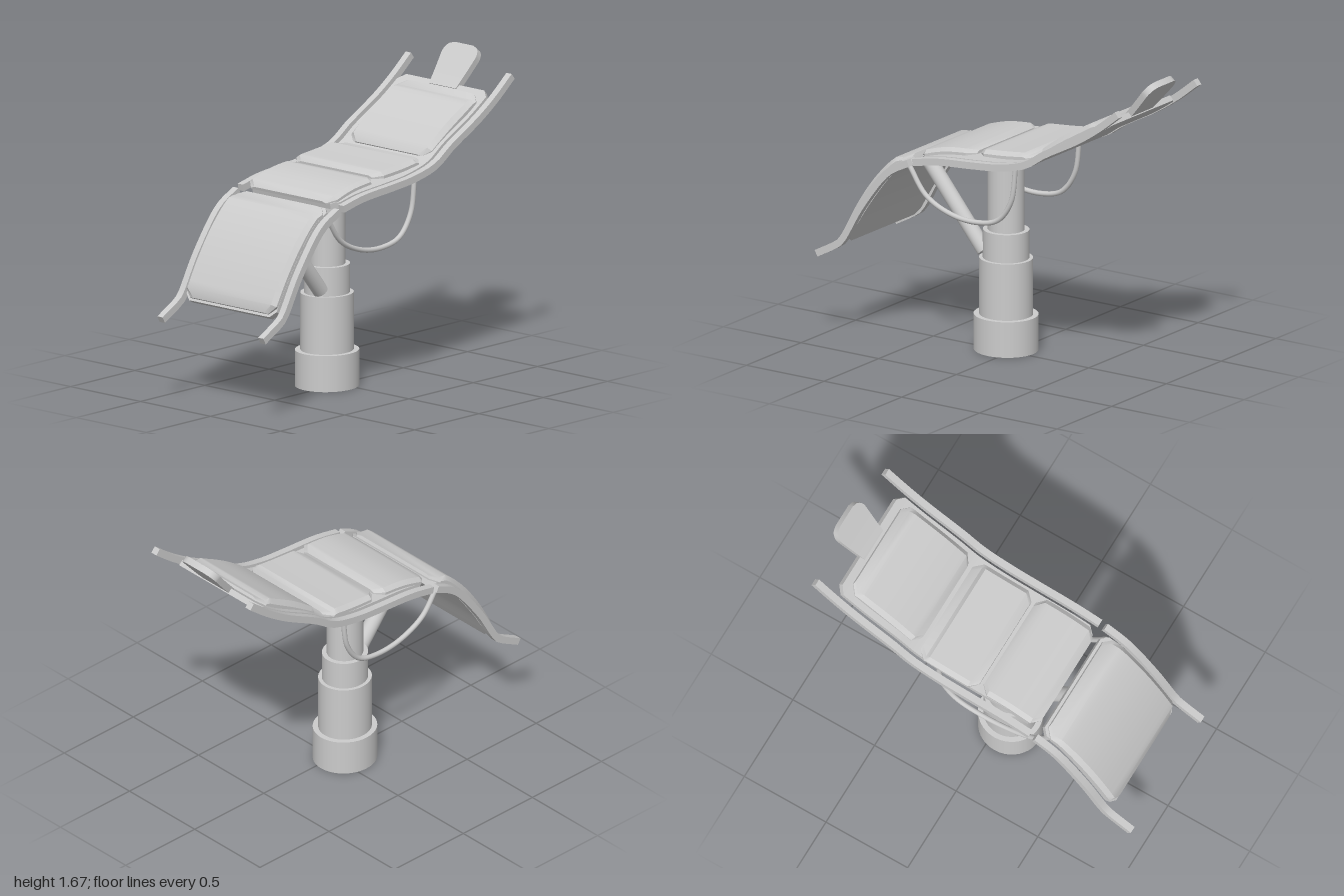
import * as THREE from 'three';
import { toCreasedNormals } from 'three/addons/utils/BufferGeometryUtils.js';

const material = new THREE.MeshStandardMaterial({ color: 0xcccccc, side: THREE.DoubleSide });

// Skin a list of convex rings (counter-clockwise seen from the first ring) and cap both ends
function loft(rings) {
  const pos = [];
  const tri = (a, b, c) => pos.push(...a, ...b, ...c);
  const n = rings[0].length;
  for (let i = 0; i < rings.length - 1; i++) {
    for (let j = 0; j < n; j++) {
      const k = (j + 1) % n;
      const [a, b, c, d] = [rings[i][j], rings[i][k], rings[i + 1][k], rings[i + 1][j]];
      tri(a, c, b);
      tri(a, d, c);
    }
  }
  const last = rings[rings.length - 1];
  for (let j = 1; j < n - 1; j++) {
    tri(rings[0][0], rings[0][j], rings[0][j + 1]);
    tri(last[0], last[j + 1], last[j]);
  }
  const g = new THREE.BufferGeometry();
  g.setAttribute('position', new THREE.Float32BufferAttribute(pos, 3));
  return toCreasedNormals(g, 0.55);
}

// A strip following a [z, y] path; chamfer cuts the corners, bevel softens the top edge
function strip({ path, x = 0, half, low, high, chamfer = 0, bevel = 0, bulge = 0, steps = 20, widthAt }) {
  const curve = new THREE.CatmullRomCurve3(path.map(([z, y]) => new THREE.Vector3(0, y, z)), false, 'centripetal');
  const L = curve.getLength();
  const stops = [0];
  for (let i = 0; i <= steps; i++) stops.push(chamfer + (L - 2 * chamfer) * i / steps);
  stops.push(L);
  const rings = stops.filter((s, i) => i === 0 || s - stops[i - 1] > 1e-6).map((s) => {
    const u = Math.min(1, s / L);
    const p = curve.getPointAt(u), t = curve.getTangentAt(u);
    const inset = Math.max(0, chamfer - Math.min(s, L - s));
    const w = (widthAt ? widthAt(u) : half) - inset;
    const edge = bevel && inset > 0 ? 0.4 : 1;
    const top = (high + bulge * Math.sin(Math.PI * u)) * edge;
    const at = (dx, h) => [x + dx, p.y - t.z * h, p.z + t.y * h];
    if (!bevel) return [at(-w, low), at(w, low), at(w, top), at(-w, top)];
    const mid = low + (top - low) * 0.45;
    return [at(-w, low), at(w, low), at(w, mid), at(w - bevel, top), at(bevel - w, top), at(-w, mid)];
  });
  return loft(rings);
}

export function createModel() {
  const model = new THREE.Group();
  const add = (name, geometry) => {
    const mesh = new THREE.Mesh(geometry, material);
    mesh.name = name;
    model.add(mesh);
    return mesh;
  };

  // Telescopic pedestal, slightly oval: [radius, bottom, top]
  [[0.166, 0, 0.195], [0.138, 0.195, 0.505], [0.119, 0.505, 0.66], [0.094, 0.66, 1.12]].forEach(([r, y0, y1], i) => {
    const m = add(`pedestalStage${i + 1}`, new THREE.CylinderGeometry(r, r, y1 - y0, 40));
    m.scale.z = 1.05;
    m.position.set(-0.034, (y0 + y1) / 2, 0.056);
  });

  // Diagonal strut holding the leg rest
  const a = new THREE.Vector3(0.015, 0.535, 0.16), b = new THREE.Vector3(0.015, 0.975, 0.52);
  const strut = add('legStrut', new THREE.CylinderGeometry(0.042, 0.042, a.distanceTo(b), 24));
  strut.position.copy(a).lerp(b, 0.5);
  strut.quaternion.setFromUnitVectors(new THREE.Vector3(0, 1, 0), b.clone().sub(a).normalize());

  // Side rails
  const legRail = [[0.99, 0.463], [0.86, 0.535], [0.83, 0.56], [0.71, 0.762], [0.56, 0.96], [0.5, 1.01], [0.4, 1.06]];
  const bodyRail = [[0.37, 1.07], [0.22, 1.1], [-0.02, 1.12], [-0.18, 1.137], [-0.35, 1.18],
    [-0.476, 1.26], [-0.69, 1.375], [-0.823, 1.463], [-0.945, 1.56]];
  for (const [label, x] of [['left', 0.358], ['right', -0.362]]) {
    add(`${label}LegRail`, strip({ path: legRail, x, half: 0.019, low: -0.019, high: 0.019 }));
    add(`${label}BodyRail`, strip({ path: bodyRail, x, half: 0.019, low: -0.019, high: 0.019, steps: 30 }));
  }

  // Bent support panels between the rails
  add('legPanel', strip({ path: [[0.84, 0.548], ...legRail.slice(3, -1), [0.41, 1.055]],
    half: 0.322, low: -0.016, high: 0.016, chamfer: 0.035 }));
  add('bodyPanel', strip({ path: [...bodyRail.slice(0, -1), [-0.838, 1.476]],
    half: 0.318, low: -0.016, high: 0.016, chamfer: 0.04, steps: 30 }));

  // Cushions: name, x, half width, height, bulge, path
  const cushions = [
    ['legCushion', -0.002, 0.323, 0.027, 0.012, [[0.85, 0.57], [0.74, 0.75], [0.62, 0.915], [0.515, 1.025], [0.435, 1.07]]],
    ['frontSeatCushion', -0.008, 0.312, 0.024, 0.004, [[0.385, 1.085], [0.22, 1.13], [0.035, 1.153]]],
    ['rearSeatCushion', -0.018, 0.312, 0.025, 0.006, [[0.015, 1.157], [-0.18, 1.17], [-0.345, 1.195]]],
    ['backCushion', 0.005, 0.288, 0.024, 0.018, [[-0.37, 1.205], [-0.52, 1.297], [-0.69, 1.4], [-0.785, 1.467]]],
  ];
  for (const [name, x, half, high, bulge, path] of cushions) {
    add(name, strip({ path, x, half, high, bulge, low: -0.006, chamfer: 0.045, bevel: 0.025, steps: 14 }));
  }

  // Headrest, flaring and then rounding off at the top
  add('headrest', strip({
    path: [[-0.815, 1.462], [-0.88, 1.535], [-0.985, 1.66]], x: 0.002, low: -0.018, high: 0.018, steps: 24,
    widthAt: (u) => u < 0.75 ? 0.095 + 0.035 * u : 0.065 + 0.056 * Math.sqrt(Math.max(0, 1 - ((u - 0.75) / 0.25) ** 2)),
  }));

  // Curved tubes slung under each side of the seat
  for (const side of [1, -1]) {
    const pts = [[0.45, 1.03], [0.34, 0.88], [0.18, 0.805], [0.01, 0.79], [-0.12, 0.825], [-0.205, 0.94], [-0.235, 1.14]]
      .map(([z, y]) => new THREE.Vector3(side * 0.312, y, z - side * 0.014));
    add(side > 0 ? 'leftLoop' : 'rightLoop',
      new THREE.TubeGeometry(new THREE.CatmullRomCurve3(pts), 40, 0.014, 10));
  }
  return model;
}
